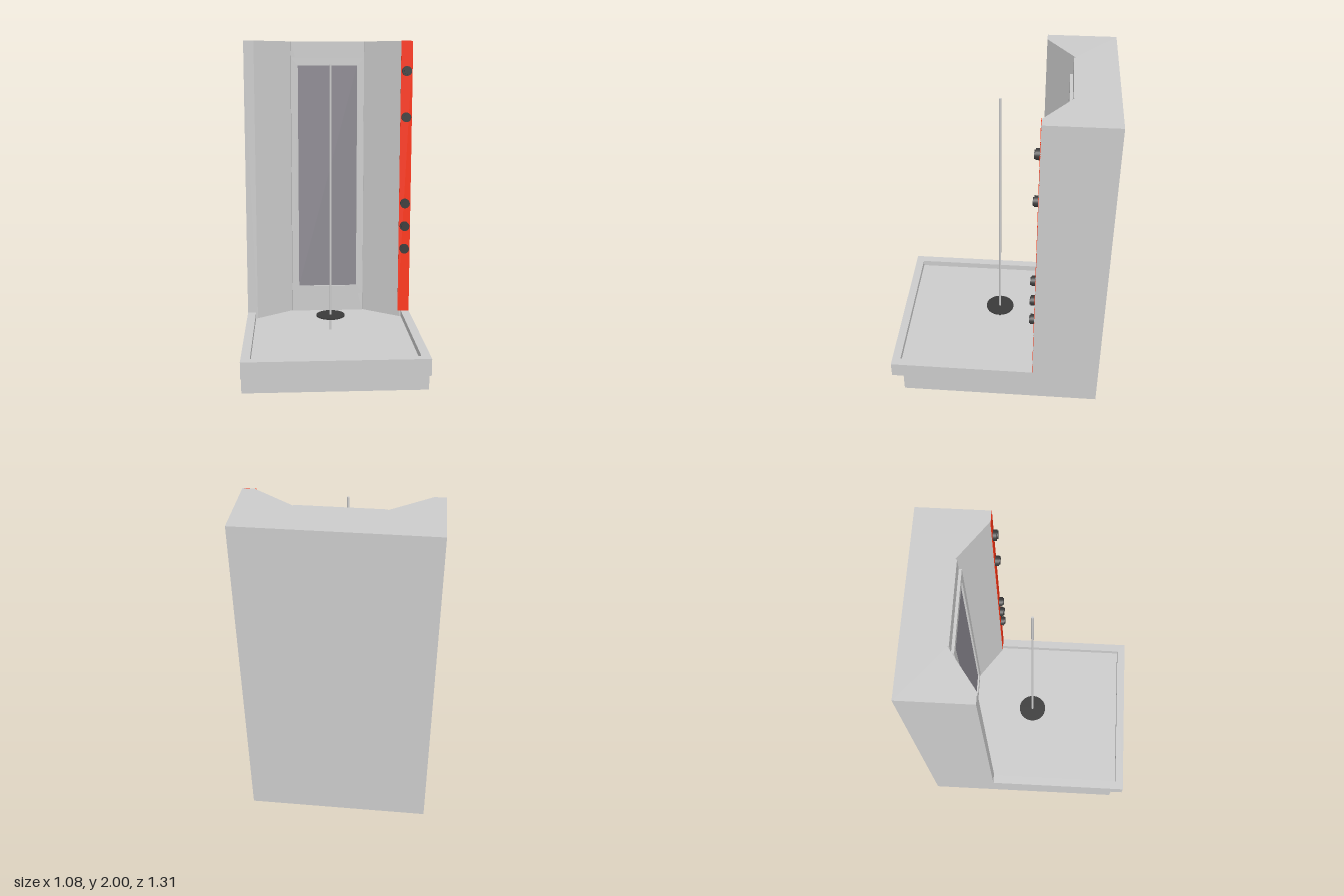
import * as THREE from 'three';

const material = (color) => new THREE.MeshStandardMaterial({ color });
const grey = material(0xcccccc);
const red = material(0xff3514);
const black = material(0x3a3a3a);
const glass = material(0x8d8a92);

const HALF_W = 0.54, HALF_D = 0.655, WALL_Z = -0.245;
const FLOOR_Y = 0.175, RIM_Y = 0.215, TOP_Y = 2;

export function createModel() {
  const group = new THREE.Group();

  function add(name, geometry, mat, x = 0, y = 0, z = 0) {
    const mesh = new THREE.Mesh(geometry, mat);
    mesh.name = name;
    mesh.position.set(x, y, z);
    group.add(mesh);
    return mesh;
  }

  // Box given by its extents on each axis
  function block(name, mat, [x0, x1], [y0, y1], [z0, z1]) {
    add(name, new THREE.BoxGeometry(x1 - x0, y1 - y0, z1 - z0), mat,
      (x0 + x1) / 2, (y0 + y1) / 2, (z0 + z1) / 2);
  }

  // Plan outline of [x, z] points raised from y0 to y1
  function raise(name, outline, y0, y1) {
    const shape = new THREE.Shape(outline.map(([x, z]) => new THREE.Vector2(x, -z)));
    const geometry = new THREE.ExtrudeGeometry(shape, { depth: y1 - y0, bevelEnabled: false });
    geometry.rotateX(-Math.PI / 2);
    add(name, geometry, grey, 0, y0);
  }

  // Plinth, overhanging tray slab and the rim around its floor
  block('plinth', grey, [-HALF_W, HALF_W], [0, 0.115], [-HALF_D, 0.58]);
  block('traySlab', grey, [-HALF_W, HALF_W], [0.115, FLOOR_Y], [-HALF_D, HALF_D]);
  raise('trayRim', [
    [-HALF_W, WALL_Z], [-HALF_W, HALF_D], [HALF_W, HALF_D], [HALF_W, WALL_Z],
    [0.487, WALL_Z], [0.487, 0.603], [-0.487, 0.603], [-0.487, WALL_Z],
  ], FLOOR_Y, RIM_Y);

  // Tall back wall with a bay cut into its front
  raise('backWall', [
    [-HALF_W, -HALF_D], [-HALF_W, WALL_Z], [-0.475, WALL_Z], [-0.243, -0.411],
    [-0.24, -0.403], [0.24, -0.403], [0.243, -0.411], [0.475, WALL_Z],
    [HALF_W, WALL_Z], [HALF_W, -HALF_D],
  ], FLOOR_Y, TOP_Y);

  // Framed panel on the back of the bay
  const frame = new THREE.Shape();
  frame.moveTo(-0.24, 0.3).lineTo(0.24, 0.3).lineTo(0.24, 1.895).lineTo(-0.24, 1.895).closePath();
  const opening = new THREE.Path();
  opening.moveTo(-0.195, 0.355).lineTo(-0.195, 1.845).lineTo(0.195, 1.845).lineTo(0.195, 0.355).closePath();
  frame.holes.push(opening);
  add('panelFrame', new THREE.ExtrudeGeometry(frame, { depth: 0.016, bevelEnabled: false }), grey, 0, 0, -0.403);
  block('panelGlass', glass, [-0.195, 0.195], [0.355, 1.845], [-0.403, -0.398]);

  // Coloured strip on the left front edge
  block('controlStrip', red, [0.465, HALF_W], [RIM_Y, TOP_Y], [WALL_Z - 0.001, WALL_Z + 0.002]);

  // Stepped knobs along the strip
  for (const y of [1.81, 1.515, 0.95, 0.797, 0.645]) {
    const base = new THREE.CylinderGeometry(0.031, 0.031, 0.023, 24).rotateX(Math.PI / 2);
    const cap = new THREE.CylinderGeometry(0.024, 0.024, 0.007, 24).rotateX(Math.PI / 2);
    add('knobBase', base, black, 0.502, y, -0.2325);
    add('knobCap', cap, black, 0.505, y, -0.2175);
  }

  // Thin pole with a disc near its foot
  add('pole', new THREE.CylinderGeometry(0.007, 0.007, 1.85 - FLOOR_Y, 16), grey, 0, (1.85 + FLOOR_Y) / 2);
  add('disc', new THREE.CylinderGeometry(0.09, 0.09, 0.008, 48), black, 0, 0.27);

  return group;
}
